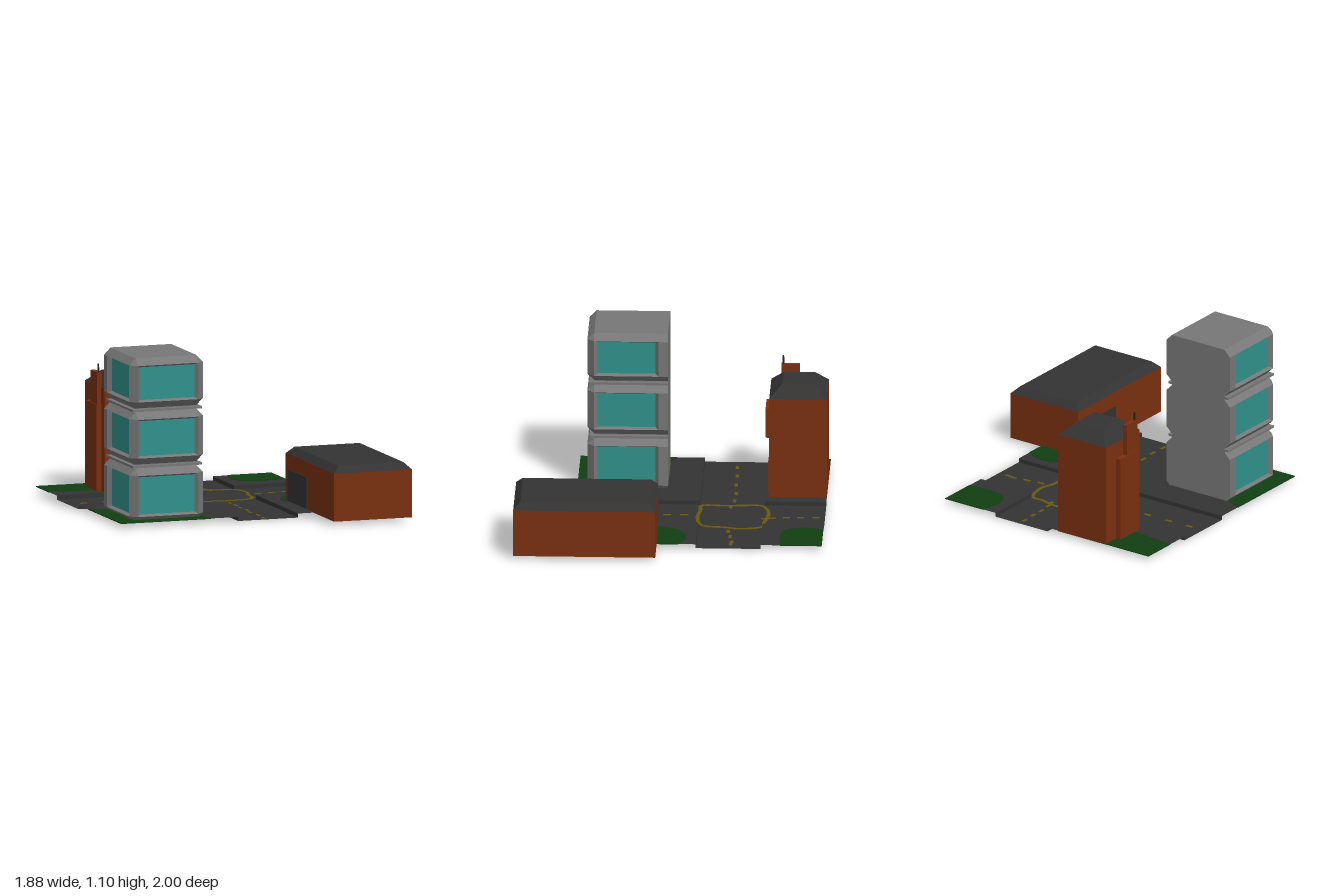
import * as THREE from 'three';

const mat = (name, color, side = THREE.FrontSide) => {
  const m = new THREE.MeshStandardMaterial({ color, side });
  m.name = name;
  return m;
};

export function createModel() {
  const root = new THREE.Group();
  const asphalt = mat('asphalt', 0x333333, THREE.DoubleSide);
  const slate = mat('slate', 0x333333);
  const concrete = mat('concrete', 0x777777);
  const glass = mat('tealGlass', 0x30918c);
  const brick = mat('brick', 0x7a3010);
  const grass = mat('grass', 0x113f11);
  const paint = mat('yellowPaint', 0x695810);
  const darkPane = mat('darkPane', 0x222222);

  const add = (name, geo, material, parent = root) => {
    const m = new THREE.Mesh(geo, material);
    m.name = name;
    parent.add(m);
    return m;
  };
  const group = (name) => {
    const g = new THREE.Group();
    g.name = name;
    root.add(g);
    return g;
  };
  const box = (name, x0, x1, y0, y1, z0, z1, material, parent) =>
    add(name, new THREE.BoxGeometry(x1 - x0, y1 - y0, z1 - z0)
      .translate((x0 + x1) / 2, (y0 + y1) / 2, (z0 + z1) / 2), material, parent);

  // Flat-shaded geometry from convex polygons
  const faces = (polys) => {
    const pos = [];
    for (const p of polys)
      for (let i = 1; i < p.length - 1; i++) pos.push(...p[0], ...p[i], ...p[i + 1]);
    const g = new THREE.BufferGeometry();
    g.setAttribute('position', new THREE.Float32BufferAttribute(pos, 3));
    g.computeVertexNormals();
    return g;
  };
  const loft = (a, b) => a.map((p, i) => {
    const j = (i + 1) % a.length;
    return [p, a[j], b[j], b[i]];
  });
  const rect = (x0, x1, z0, z1, y) => [[x0, y, z1], [x1, y, z1], [x1, y, z0], [x0, y, z0]];

  // Flat plate cut from an outline in x and z
  const plate = (name, shape, top, material, parent) => add(name,
    new THREE.ExtrudeGeometry(shape, { depth: 0.006, bevelEnabled: false })
      .rotateX(Math.PI / 2).translate(0, top, 0), material, parent);

  // Ground: low crossroads between four raised corners
  const ground = group('ground');
  const X0 = -0.94, X1 = 0.69, Z0 = -1, Z1 = 0.63, RX0 = -0.13, RX1 = 0.285, RZ0 = -0.6, RZ1 = -0.18;
  const R = 0.003, K = 0.03;
  add('road', faces([
    rect(RX0, RX1, Z0, Z1, R), rect(X0, RX0, RZ0, RZ1, R), rect(RX1, X1, RZ0, RZ1, R),
  ]), asphalt, ground);
  for (const [x, kx] of [[X0, RX0], [X1, RX1]])
    for (const [z, kz] of [[Z0, RZ0], [Z1, RZ1]]) {
      const top = rect(Math.min(x, kx), Math.max(x, kx), Math.min(z, kz), Math.max(z, kz), K);
      const kerbX = [[kx, R, z], [kx, R, kz], [kx, K, kz], [kx, K, z]];
      const kerbZ = [[x, R, kz], [kx, R, kz], [kx, K, kz], [x, K, kz]];
      if (x < kx === z < kz) kerbX.reverse();
      if (x < kx === z > kz) kerbX.reverse();
      if (z > kz) kerbZ.reverse();
      if (x > kx) { kerbX.reverse(); kerbZ.reverse(); }
      add('pavement', faces([top, kerbX, kerbZ]), asphalt, ground);
    }

  // Grass patches: straight outer edges and a curved inner edge
  const lawns = [
    [[-0.94, -1], [-0.94, -0.76], [[-0.82, -0.745], [-0.6, -0.735], [-0.45, -0.8], [-0.4, -1]]],
    [[0.69, -1], [0.69, -0.73], [[0.52, -0.72], [0.41, -0.75], [0.36, -0.86], [0.385, -1]]],
    [[-0.94, 0.63], [-0.94, 0], [[-0.85, 0.04], [-0.65, 0.15], [-0.4, 0.42], [-0.34, 0.56], [-0.32, 0.63]]],
    [[0.69, 0.25], [0.69, -0.06], [[0.62, -0.1], [0.52, -0.11], [0.42, -0.05], [0.375, 0.08], [0.45, 0.25]]],
  ];
  for (const [a, b, curve] of lawns) {
    const s = new THREE.Shape();
    s.moveTo(...a);
    s.lineTo(...b);
    s.splineThru(curve.map((p) => new THREE.Vector2(...p)));
    plate('lawn', s, K + 0.003, grass, ground);
  }

  // Hand-painted ring at the crossing
  const ringCurve = new THREE.CatmullRomCurve3([
    [-0.12, -0.57], [-0.06, -0.615], [0.08, -0.63], [0.2, -0.605], [0.275, -0.6], [0.32, -0.45],
    [0.295, -0.35], [0.28, -0.23], [0.24, -0.19], [0.1, -0.17], [-0.02, -0.185], [-0.11, -0.19],
    [-0.11, -0.35], [-0.122, -0.48],
  ].map(([x, z]) => new THREE.Vector3(x, z, 0)), true);
  const N = 56, outer = [], inner = [];
  for (let i = 0; i < N; i++) {
    const p = ringCurve.getPointAt(i / N), t = ringCurve.getTangentAt(i / N);
    outer.push(new THREE.Vector2(p.x + t.y * 0.012, p.y - t.x * 0.012));
    inner.push(new THREE.Vector2(p.x - t.y * 0.012, p.y + t.x * 0.012));
  }
  const ring = new THREE.Shape(outer);
  ring.holes.push(new THREE.Path(inner));
  plate('crossingRing', ring, 0.006, paint, ground);

  // Lane dashes: x, z, length along x, length along z
  const dashes = [
    ...[[0.095, -0.94], [0.1, -0.84], [0.1, -0.75], [0.11, -0.66]].map((p) => [...p, 0.02, 0.045]),
    [0.125, -0.6, 0.025, 0.03], [-0.085, -0.38, 0.04, 0.022],
    ...[[0.07, -0.08], [0.07, 0.03], [0.065, 0.13], [0.075, 0.23], [0.06, 0.33], [0.07, 0.45], [0.065, 0.56]]
      .map((p) => [...p, 0.02, 0.05]),
    ...[[-0.83, -0.395], [-0.67, -0.4], [-0.5, -0.4], [-0.34, -0.405], [-0.2, -0.4], [0.37, -0.38],
      [0.47, -0.395], [0.57, -0.41], [0.61, -0.405]].map((p) => [...p, 0.05, 0.022]),
  ];
  for (const [x, z, dx, dz] of dashes)
    box('laneDash', x - dx / 2, x + dx / 2, 0, 0.006, z - dz / 2, z + dz / 2, paint, ground);

  // Tower: three bevelled storeys, glazed on three sides, flat at the back
  const tower = group('tower');
  const cx = -0.59, w = 0.255, c = 0.045, f = 0.565, b = 0.04;
  const outline = (y, full) => {
    const s = full ? w : w - c, fz = full ? f : f - c, e = w - c;
    return [[-e, fz], [e, fz], [s, f - c], [s, b + 0.06], [s, b], [-s, b], [-s, b + 0.06], [-s, f - c]]
      .map(([x, z]) => [cx + x, y, z]);
  };
  const storey = (y0, y1) => {
    const [A, B, C, D] = [outline(y0), outline(y0 + c, true), outline(y1 - c, true), outline(y1)];
    const walls = [...loft(A, B), ...loft(C, D), D, [...A].reverse()];
    const panes = [];
    loft(B, C).forEach((q, i) => {
      if (![0, 2, 6].includes(i)) return walls.push(q);
      // Recessed window with a sloping surround
      const v = q.map((p) => new THREE.Vector3(...p));
      const u = v[1].clone().sub(v[0]).normalize();
      const up = new THREE.Vector3(0, 1, 0);
      const n = u.clone().cross(up);
      const pane = v.map((p, k) => p.clone()
        .addScaledVector(u, k === 0 || k === 3 ? 0.02 : -0.02)
        .addScaledVector(up, k < 2 ? 0.012 : -0.012)
        .addScaledVector(n, -0.025).toArray());
      walls.push(...loft(q, pane));
      panes.push(pane);
    });
    add('storeyShell', faces(walls), concrete, tower);
    add('storeyWindows', faces(panes), glass, tower);
  };
  storey(0.01, 0.37);
  storey(0.395, 0.74);
  storey(0.765, 1.095);
  for (const y of [0.382, 0.752]) {
    box('storeyNeck', cx - w + c, cx + w - c, y - 0.015, y + 0.016, b, f - c, concrete, tower);
    box('storeyLedge', cx - 0.24, cx + 0.24, y - 0.007, y + 0.008, b, 0.55, concrete, tower);
  }

  // Brick block with hipped, flat-topped roof
  const building = (name, x0, x1, z0, z1, y0, y1, y2, inset) => {
    const g = group(name);
    const base = rect(x0, x1, z0, z1, y0), eave = rect(x0, x1, z0, z1, y1);
    const top = rect(x0 + inset, x1 - inset, z0 + inset, z1 - inset, y2);
    add('walls', faces(loft(base, eave)), brick, g);
    add('floor', faces([base.reverse()]), concrete, g);
    add('roof', faces([...loft(eave, top), top]), slate, g);
    return g;
  };

  // Tall house with a bay window, door and stepped chimney
  const house = building('house', -0.6, -0.215, -1, -0.625, 0.026, 0.71, 0.79, 0.085);
  const frame = new THREE.Shape([[-0.49, 0.41], [-0.3, 0.41], [-0.3, 0.61], [-0.49, 0.61]]
    .map((p) => new THREE.Vector2(...p)));
  frame.holes.push(new THREE.Path([[-0.465, 0.435], [-0.465, 0.58], [-0.325, 0.58], [-0.325, 0.435]]
    .map((p) => new THREE.Vector2(...p))));
  add('windowFrame', new THREE.ExtrudeGeometry(frame, { depth: 0.027, bevelEnabled: false })
    .translate(0, 0, -0.625), brick, house);
  box('windowPane', -0.465, -0.325, 0.435, 0.58, -0.625, -0.619, darkPane, house);
  box('door', -0.38, -0.29, 0.03, 0.235, -0.625, -0.622, brick, house);
  for (const x of [-0.39, -0.29]) box('doorPost', x, x + 0.01, 0.03, 0.24, -0.625, -0.615, brick, house);
  box('doorLintel', -0.39, -0.28, 0.235, 0.245, -0.625, -0.615, brick, house);
  box('chimneyBase', -0.635, -0.6, 0.03, 0.6, -0.89, -0.685, brick, house);
  box('chimneyStack', -0.63, -0.598, 0.6, 0.81, -0.81, -0.69, brick, house);
  add('chimneyPipe', new THREE.CylinderGeometry(0.005, 0.008, 0.06, 8).translate(-0.615, 0.836, -0.703),
    darkPane, house);

  // Long low garage with a door in its side
  const garage = building('garage', 0.4, 0.94, 0.075, 1, 0.025, 0.34, 0.385, 0.045);
  box('garageDoor', 0.394, 0.4, 0.032, 0.24, 0.13, 0.49, slate, garage);

  return root;
}
